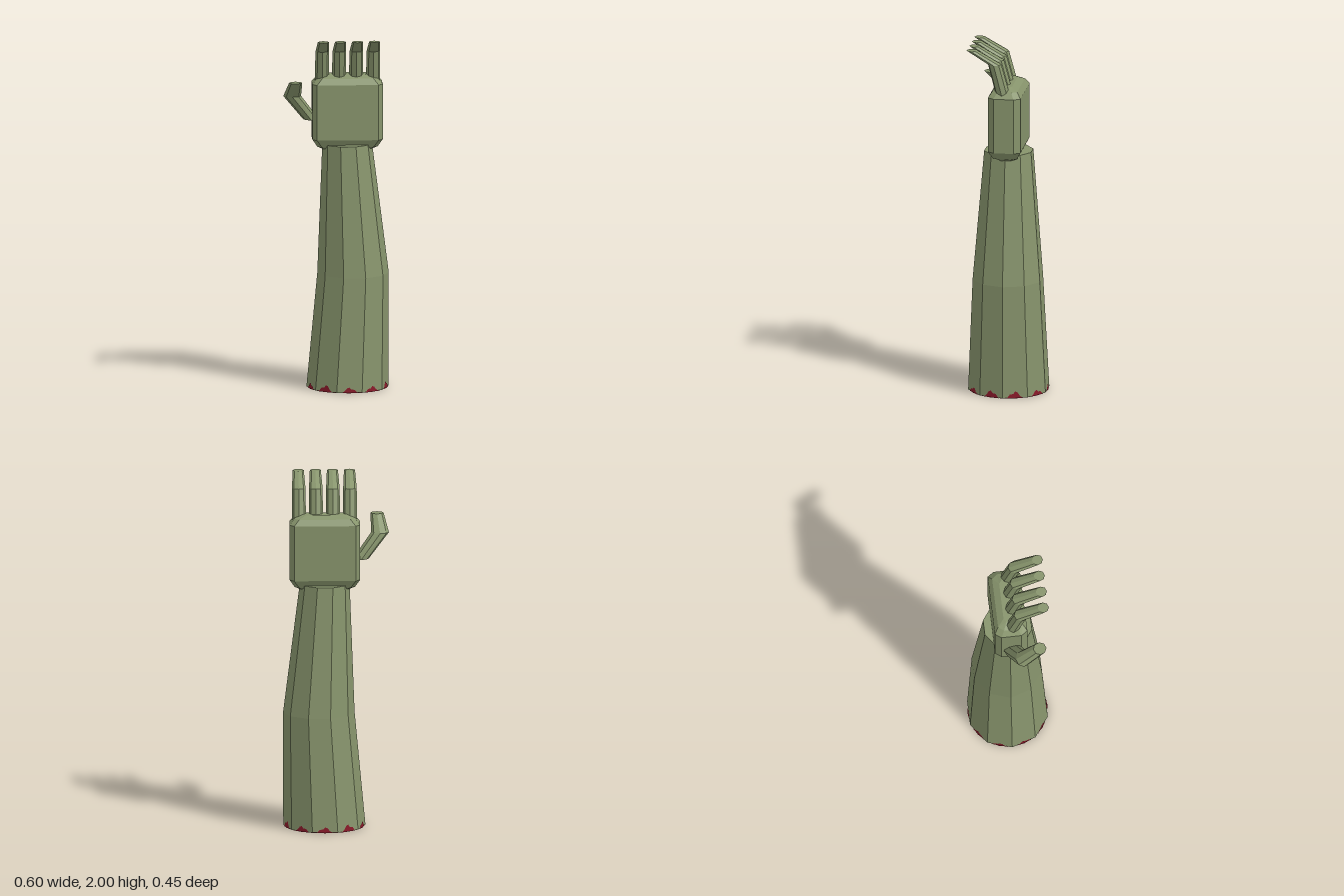
import * as THREE from 'three';

const skin = new THREE.MeshStandardMaterial({ name: 'olive skin', color: 0x87946c, flatShading: true });
const flesh = new THREE.MeshStandardMaterial({ name: 'raw flesh', color: 0x8a1a2a, flatShading: true, side: THREE.DoubleSide });

// Skin a stack of rings (bottom to top, each counterclockwise from above) and cap both ends
function loft(rings) {
  const pos = [];
  const n = rings[0].length;
  const tri = (a, b, c) => pos.push(...a, ...b, ...c);
  for (let r = 0; r < rings.length - 1; r++) {
    const lo = rings[r], hi = rings[r + 1];
    for (let i = 0; i < n; i++) {
      const j = (i + 1) % n;
      tri(lo[i], lo[j], hi[j]);
      tri(lo[i], hi[j], hi[i]);
    }
  }
  const first = rings[0], last = rings[rings.length - 1];
  for (let i = 1; i < n - 1; i++) {
    tri(last[0], last[i], last[i + 1]);
    tri(first[0], first[i + 1], first[i]);
  }
  const geo = new THREE.BufferGeometry();
  geo.setAttribute('position', new THREE.Float32BufferAttribute(pos, 3));
  geo.computeVertexNormals();
  return geo;
}

// Level regular polygon
function ring(sides, x, y, z, rx, rz = rx) {
  return Array.from({ length: sides }, (_, i) => {
    const a = (i / sides) * Math.PI * 2;
    return [x + Math.cos(a) * rx, y, z - Math.sin(a) * rz];
  });
}

// Level rectangle with cut corners
function cutRect(x, y, hx, hz, cx, cz) {
  return [
    [hx, hz - cz], [hx, cz - hz], [hx - cx, -hz], [cx - hx, -hz],
    [-hx, cz - hz], [-hx, hz - cz], [cx - hx, hz], [hx - cx, hz],
  ].map(([px, pz]) => [x + px, y, pz]);
}

function add(group, name, geo, mat) {
  const mesh = new THREE.Mesh(geo, mat);
  mesh.name = name;
  group.add(mesh);
  return mesh;
}

export function createModel() {
  const model = new THREE.Group();
  model.name = 'severedArm';

  // Ten-sided forearm, bulging below the elbow line
  add(model, 'forearm', loft([
    ring(10, 0.064, 0.002, 0, 0.231),
    ring(10, 0.095, 0.65, 0, 0.201),
    ring(10, 0.062, 1.39, 0, 0.14),
  ]), skin);

  // Bevelled palm
  add(model, 'palm', loft([
    cutRect(0.062, 1.355, 0.125, 0.035, 0.02, 0.015),
    cutRect(0.062, 1.377, 0.17, 0.07, 0.025, 0.03),
    cutRect(0.062, 1.42, 0.198, 0.092, 0.025, 0.035),
    cutRect(0.062, 1.735, 0.198, 0.092, 0.025, 0.035),
    cutRect(0.062, 1.768, 0.17, 0.07, 0.025, 0.03),
    cutRect(0.062, 1.787, 0.125, 0.035, 0.02, 0.015),
  ]), skin);

  // Four fingers bent forward
  const fingers = new THREE.Group();
  fingers.name = 'fingers';
  model.add(fingers);
  [-0.081, 0.015, 0.111, 0.207].forEach((x, i) => {
    add(fingers, `finger${i + 1}`, loft([
      ring(8, x, 1.75, 0.012, 0.04),
      ring(8, x, 1.925, 0.058, 0.038),
      ring(8, x, 2.0, 0.186, 0.031),
    ]), skin);
  });

  // Thumb, leaning out and then forward
  add(model, 'thumb', loft([
    ring(8, -0.142, 1.53, 0.008, 0.045, 0.052),
    ring(8, -0.25, 1.67, 0.052, 0.05, 0.042),
    ring(8, -0.235, 1.762, 0.148, 0.037),
  ]), skin);

  // Raw underside of the stump
  const cut = add(model, 'stumpCut', new THREE.CircleGeometry(0.226, 20), flesh);
  cut.rotation.x = Math.PI / 2;
  cut.position.x = 0.064;

  // Ragged flesh patch at the foot of each forearm side
  const tatters = new THREE.Group();
  tatters.name = 'raggedEdge';
  tatters.position.x = 0.064;
  model.add(tatters);
  const patch = new THREE.ShapeGeometry(new THREE.Shape([
    [-0.048, 0], [-0.03, 0.022], [-0.01, 0.024], [0, 0.038], [0.014, 0.032],
    [0.026, 0.014], [0.045, 0],
  ].map(([x, y]) => new THREE.Vector2(x, y))));
  for (let i = 0; i < 10; i++) {
    const a = ((i + 0.5) / 10) * Math.PI * 2;
    const tatter = add(tatters, `tatter${i + 1}`, patch, flesh);
    tatter.position.set(Math.cos(a) * 0.222, 0, -Math.sin(a) * 0.222);
    tatter.rotation.y = a + Math.PI / 2;
    tatter.scale.set(i % 2 ? -1 : 1, i % 3 ? 0.85 : 1.05, 1);
  }
  return model;
}
